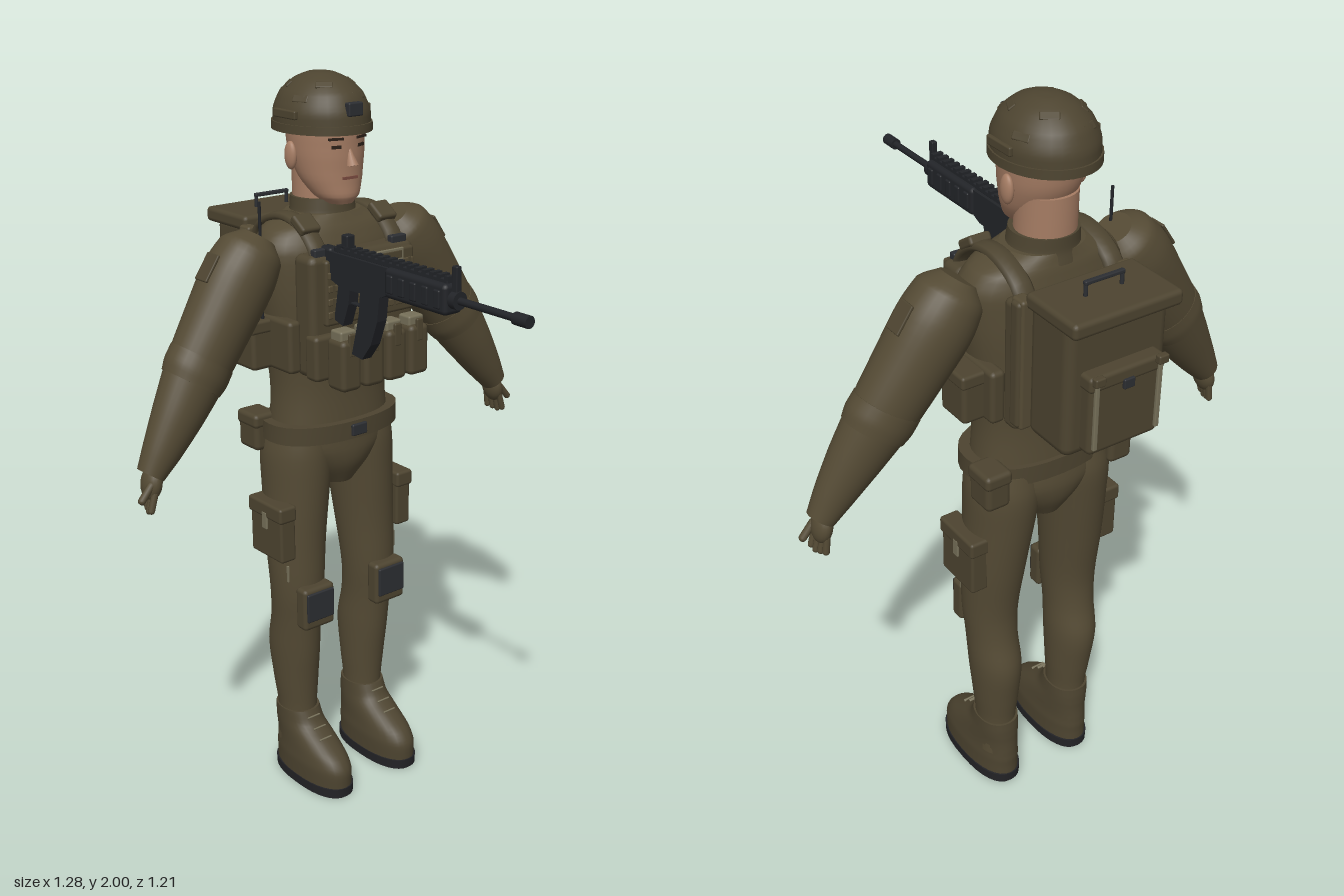
import * as THREE from 'three';
import { RoundedBoxGeometry } from 'three/addons/geometries/RoundedBoxGeometry.js';

const mat = (name, color) => new THREE.MeshStandardMaterial({ name, color });

export function createModel() {
  const M = {
    cloth: mat('olive cloth', 0x544a34), gear: mat('dark olive gear', 0x4d4430),
    skin: mat('skin', 0xa67d64), tan: mat('tan webbing', 0x767059),
    gun: mat('gunmetal', 0x222428), pad: mat('dark pad', 0x2c2e32),
    sole: mat('rubber sole', 0x232326), brow: mat('brow brown', 0x2b2018), lip: mat('lip', 0x7c4c40),
  };
  const root = new THREE.Group();
  root.name = 'soldier';

  const group = (name, parent = root) => {
    const g = new THREE.Group();
    g.name = name;
    parent.add(g);
    return g;
  };
  const add = (name, geo, m, parent, x = 0, y = 0, z = 0) => {
    const mesh = new THREE.Mesh(geo, m);
    mesh.name = name;
    mesh.position.set(x, y, z);
    parent.add(mesh);
    return mesh;
  };
  const box = (name, m, parent, [w, h, d], [x, y, z], r = 0.008) => add(name,
    r ? new RoundedBoxGeometry(w, h, d, 2, Math.min(r, w / 2.1, h / 2.1, d / 2.1)) : new THREE.BoxGeometry(w, h, d),
    m, parent, x, y, z);
  const ball = (name, m, parent, [a, b, c], [x, y, z]) => {
    const mesh = add(name, new THREE.SphereGeometry(1, 20, 14), m, parent, x, y, z);
    mesh.scale.set(a, b, c);
    return mesh;
  };
  const rod = (name, m, parent, r, len, [x, y, z], alongZ = false) => {
    const mesh = add(name, new THREE.CylinderGeometry(r, r, len, 14), m, parent, x, y, z);
    if (alongZ) mesh.rotation.x = Math.PI / 2;
    return mesh;
  };

  // Smooth body from rows [x, y, z, rx, rz], bottom to top, with capped ends
  function loft(rows, { seg = 32, steps = 4, power = 2 } = {}) {
    const mid = new THREE.CatmullRomCurve3(rows.map(r => new THREE.Vector3(r[0], r[1], r[2])));
    const rad = new THREE.CatmullRomCurve3(rows.map(r => new THREE.Vector3(r[3], r[4], 0)));
    const n = (rows.length - 1) * steps, pos = [], idx = [];
    const round = v => Math.sign(v) * Math.abs(v) ** (2 / power);
    for (let i = 0; i <= n; i++) {
      const c = mid.getPoint(i / n), r = rad.getPoint(i / n);
      for (let j = 0; j < seg; j++) {
        const a = j / seg * Math.PI * 2;
        pos.push(c.x + r.x * round(Math.cos(a)), c.y, c.z + r.y * round(Math.sin(a)));
      }
    }
    for (let i = 0; i < n; i++) for (let j = 0; j < seg; j++) {
      const k = (j + 1) % seg, a = i * seg + j, c = i * seg + k;
      idx.push(a, a + seg, c, a + seg, c + seg, c);
    }
    // Caps own their vertices so the rims stay sharp
    for (const [row, up] of [[0, false], [n, true]]) {
      const base = pos.length / 3, e = rows[up ? rows.length - 1 : 0];
      for (let j = 0; j < seg * 3; j++) pos.push(pos[row * seg * 3 + j]);
      pos.push(e[0], e[1], e[2]);
      for (let j = 0; j < seg; j++) {
        const a = base + j, b = base + (j + 1) % seg;
        idx.push(base + seg, up ? b : a, up ? a : b);
      }
    }
    const geo = new THREE.BufferGeometry();
    geo.setAttribute('position', new THREE.Float32BufferAttribute(pos, 3));
    geo.setIndex(idx);
    geo.computeVertexNormals();
    return geo;
  }

  // Torso, pelvis, collar and belt
  add('torso', loft([[0, 1.06, -.25, .178, .112], [0, 1.18, -.25, .17, .108], [0, 1.32, -.25, .185, .115],
    [0, 1.46, -.25, .207, .12], [0, 1.56, -.25, .215, .115], [0, 1.615, -.255, .185, .1], [0, 1.65, -.26, .1, .085]],
    { power: 2.3 }), M.cloth, root);
  add('pelvis', loft([[0, .905, -.255, .06, .08], [0, .97, -.255, .13, .112], [0, 1.03, -.255, .185, .118],
    [0, 1.09, -.25, .18, .114]]), M.cloth, root);
  add('collar', loft([[0, 1.62, -.262, .1, .092], [0, 1.65, -.262, .088, .085], [0, 1.685, -.264, .083, .083]]), M.gear, root);
  add('belt', loft([[0, 1.05, -.245, .203, .127], [0, 1.1, -.245, .203, .127]], { steps: 1, power: 2.3 }), M.gear, root);
  box('beltBuckle', M.pad, root, [.05, .032, .012], [0, 1.075, -.116], .004);

  // Head and face
  const head = group('head');
  add('neck', loft([[0, 1.6, -.267, .074, .074], [0, 1.78, -.272, .074, .072]], { steps: 1 }), M.skin, head);
  add('face', loft([[0, 1.675, -.192, .035, .038], [0, 1.695, -.205, .06, .062], [0, 1.74, -.228, .083, .084],
    [0, 1.8, -.243, .096, .101], [0, 1.86, -.247, .1, .105], [0, 1.92, -.25, .09, .095]]), M.skin, head);
  const nose = add('nose', new THREE.ConeGeometry(.017, .055, 12), M.skin, head, 0, 1.8, -.142);
  nose.rotation.x = -.25;
  box('mouth', M.lip, head, [.046, .007, .008], [0, 1.743, -.146], 0);
  for (const s of [-1, 1]) {
    box('eye', M.brow, head, [.025, .008, .008], [s * .038, 1.822, -.152], 0).rotation.y = s * .3;
    box('eyebrow', M.brow, head, [.04, .006, .008], [s * .04, 1.842, -.15], 0).rotation.y = s * .3;
    ball('ear', M.skin, head, [.013, .036, .021], [s * .1, 1.795, -.26]);
  }

  // Helmet, cover patches, side rails and front mount
  const helmet = group('helmet');
  add('helmetShell', loft([[0, 1.862, -.26, .118, .138], [0, 1.9, -.26, .118, .136], [0, 1.945, -.26, .1, .117],
    [0, 1.978, -.26, .066, .078], [0, 1.994, -.26, .03, .036], [0, 1.997, -.26, .006, .007]]), M.gear, helmet);
  add('helmetRim', loft([[0, 1.853, -.26, .122, .143], [0, 1.875, -.26, .122, .142]], { steps: 1 }), M.gear, helmet);
  box('frontMount', M.pad, helmet, [.045, .034, .02], [0, 1.915, -.127], .004);
  for (const [az, el] of [[.5, .9], [2.2, .9], [3.7, .85], [5.3, .95], [1.2, .6], [2.8, .55], [4.3, .6], [5.9, .5]]) {
    const n = new THREE.Vector3(Math.cos(el) * Math.cos(az), Math.sin(el), Math.cos(el) * Math.sin(az));
    const p = box('coverPatch', M.gear, helmet, [.045, .02, .008], [n.x * .117, 1.873 + n.y * .123, -.26 + n.z * .135], .003);
    p.lookAt(p.position.clone().add(n));
  }
  for (const s of [-1, 1]) box('sideRail', M.gear, helmet, [.012, .022, .09], [s * .117, 1.9, -.255], .004);

  // Limbs and the gear that repeats on both sides
  for (const s of [-1, 1]) {
    const side = group(s > 0 ? 'leftSide' : 'rightSide');
    side.scale.x = s;

    const arm = group('arm', side);
    arm.position.set(.27, 1.53, -.245);
    arm.rotation.z = .6;
    add('sleeve', loft([[0, -.565, .03, .037, .036], [0, -.5, .028, .052, .046], [0, -.4, .022, .07, .06],
      [0, -.28, .012, .086, .073], [0, -.15, .005, .093, .083], [0, -.03, 0, .098, .09], [0, .05, 0, .085, .083],
      [0, .09, 0, .045, .048]]), M.cloth, arm);
    add('elbowCuff', loft([[0, -.315, .014, .084, .073], [0, -.28, .012, .091, .077], [0, -.245, .01, .09, .077]]), M.cloth, arm);
    box('armPatch', M.gear, arm, [.008, .075, .05], [.098, -.04, 0], .003);
    const hand = group('hand', arm);
    hand.position.set(0, -.55, .03);
    hand.rotation.z = -.4;
    ball('palm', M.cloth, hand, [.024, .045, .036], [0, -.035, 0]);
    for (let i = 0; i < 4; i++) {
      const f = add('finger', new THREE.CapsuleGeometry(.009, .045, 4, 8), M.cloth, hand,
        .004 - i * .003, -.084 + Math.abs(i - 1) * .005, .024 - i * .016);
      f.rotation.z = .1 - i * .06;
    }
    const thumb = add('thumb', new THREE.CapsuleGeometry(.01, .045, 4, 8), M.cloth, hand, .024, -.055, .02);
    thumb.rotation.z = .5;

    add('leg', loft([[.12, .1, -.265, .054, .064], [.12, .2, -.262, .052, .061], [.122, .3, -.264, .06, .07],
      [.125, .42, -.263, .067, .083], [.127, .51, -.249, .067, .077], [.127, .6, -.241, .073, .079],
      [.122, .75, -.25, .082, .089], [.112, .9, -.257, .089, .102], [.105, 1, -.26, .095, .108],
      [.1, 1.07, -.258, .088, .1]]), M.cloth, side);
    add('boot', loft([[.118, .025, -.19, .066, .148], [.118, .07, -.19, .067, .148], [.118, .105, -.2, .064, .136],
      [.118, .14, -.225, .061, .108], [.119, .175, -.252, .058, .08], [.12, .215, -.262, .056, .067]],
      { power: 2.2 }), M.gear, side);
    add('bootSole', loft([[.118, 0, -.19, .067, .15], [.118, .028, -.19, .068, .151]], { steps: 1, power: 2.4 }), M.sole, side);
    for (let i = 0; i < 4; i++) {
      box('bootLace', M.tan, side, [.042, .005, .008], [.119, .125 + i * .024, -.106 - i * .027], .002).rotation.x = -.7;
    }
    box('kneePad', M.gear, side, [.105, .125, .045], [.127, .572, -.158], .012);
    box('kneePadPlate', M.pad, side, [.09, .085, .01], [.127, .58, -.134], .004);
    box('kneeStrap', M.tan, side, [.006, .05, .012], [.188, .67, -.2], .002);
    box('thighPocket', M.gear, side, [.05, .16, .14], [.203, .8, -.24]);
    box('thighPocketFlap', M.gear, side, [.056, .045, .15], [.205, .86, -.24]);
    box('thighPocketTab', M.tan, side, [.008, .05, .022], [.23, .83, -.24], .003);
    box('beltPouch', M.gear, side, [.07, .1, .085], [.185, 1.06, -.325], .015);
    box('beltPouchFlap', M.gear, side, [.076, .04, .09], [.185, 1.095, -.325], .012);
    box('sidePouch', M.gear, side, [.07, .13, .1], [.225, 1.325, -.275], .012);
    box('sidePouchFlap', M.gear, side, [.076, .035, .106], [.226, 1.375, -.275]);
    box('cummerbund', M.gear, side, [.04, .14, .22], [.185, 1.33, -.25], .012);

    // Flattened strap over the shoulder
    const path = new THREE.CatmullRomCurve3([[1.5, -.105], [1.58, -.125], [1.635, -.19], [1.645, -.27], [1.6, -.36], [1.5, -.39]]
      .map(([y, z]) => new THREE.Vector3(0, y, z)));
    const strap = add('shoulderStrap', new THREE.TubeGeometry(path, 24, .012, 8), M.gear, side, .125);
    strap.scale.x = 2.4;
    box('strapPad', M.gear, side, [.06, .025, .06], [.125, 1.637, -.17]).rotation.x = .6;
    box('strapBuckle', M.pad, side, [.05, .022, .02], [.125, 1.575, -.11], .004);
  }

  // Plate carrier with webbing and magazine pouches
  const vest = group('vest');
  box('frontPlate', M.gear, vest, [.34, .32, .08], [0, 1.41, -.13], .02);
  box('backPlate', M.gear, vest, [.32, .34, .05], [0, 1.41, -.36], .015);
  box('chestPanel', M.gear, vest, [.29, .17, .03], [.01, 1.475, -.09], .008);
  for (let i = 0; i < 4; i++) {
    box('webbingRow', M.cloth, vest, [.28, .018, .008], [.01, 1.42 + i * .034, -.074], .003);
    for (let j = 0; j < 6; j++) box('webbingStitch', M.gear, vest, [.006, .02, .01], [-.115 + j * .05, 1.42 + i * .034, -.073], 0);
  }
  box('namePatch', M.tan, vest, [.09, .032, .008], [.07, 1.545, -.073], .002);
  box('namePatchInset', M.gear, vest, [.075, .02, .008], [.07, 1.545, -.071], .002);
  box('pouchPanel', M.gear, vest, [.35, .12, .05], [0, 1.31, -.095], .012);
  for (let i = 0; i < 4; i++) {
    const x = -.11 + i * .075;
    box('magazinePouch', M.gear, vest, [.064, .135, .07], [x, 1.3, -.037], .014);
    box('magazineTop', M.tan, vest, [.05, .04, .045], [x, 1.37, -.04], .006);
    box('pouchTab', M.gear, vest, [.022, .06, .01], [x, 1.355, -.006], .004);
  }
  rod('antenna', M.gun, vest, .004, .3, [-.23, 1.55, -.22]);

  // Backpack with lid, pocket, straps and handle
  const pack = group('backpack');
  box('packFrame', M.gear, pack, [.34, .33, .035], [0, 1.43, -.392], .01);
  for (const s of [-1, 1]) box('frameStrap', M.cloth, pack, [.035, .34, .045], [s * .145, 1.43, -.392], .008);
  box('packBody', M.gear, pack, [.28, .35, .15], [0, 1.425, -.48], .025);
  box('packLid', M.gear, pack, [.3, .04, .185], [0, 1.6, -.495], .012);
  box('packPocket', M.gear, pack, [.2, .2, .05], [0, 1.365, -.565], .015);
  box('packPocketFlap', M.gear, pack, [.21, .04, .055], [0, 1.455, -.566], .01);
  box('pocketBuckle', M.pad, pack, [.03, .025, .01], [0, 1.435, -.595], .003);
  for (const s of [-1, 1]) {
    box('packStrap', M.tan, pack, [.012, .19, .01], [s * .088, 1.38, -.594], .003);
    box('strapClip', M.gear, pack, [.028, .022, .018], [s * .088, 1.47, -.6], .004);
    rod('handlePost', M.pad, pack, .005, .035, [s * .05, 1.635, -.49]);
  }
  box('handleBar', M.pad, pack, [.11, .01, .012], [0, 1.652, -.49], .003);

  // Rifle slung across the chest, pointing forward
  const rifle = group('rifle');
  rifle.position.x = -.1;
  const sidePlate = (name, pts, width) => {
    const shape = new THREE.Shape(pts.map(([z, y]) => new THREE.Vector2(z, y)));
    const geo = new THREE.ExtrudeGeometry(shape, { depth: width, bevelEnabled: false });
    geo.translate(0, 0, -width / 2).rotateY(-Math.PI / 2);
    return add(name, geo, M.gun, rifle);
  };
  rod('barrel', M.gun, rifle, .009, .25, [0, 1.55, .45], true);
  rod('muzzle', M.gun, rifle, .015, .045, [0, 1.55, .582], true);
  rod('gasBlock', M.gun, rifle, .022, .03, [0, 1.55, .365], true);
  box('frontSight', M.gun, rifle, [.016, .1, .018], [0, 1.58, .367], .003);
  box('handguard', M.gun, rifle, [.058, .075, .22], [0, 1.55, .25], .012);
  for (let i = 0; i < 5; i++) box('handguardRib', M.gun, rifle, [.068, .045, .022], [0, 1.55, .165 + i * .042], .004);
  box('topRail', M.gun, rifle, [.028, .014, .42], [0, 1.59, .14], .003);
  for (let i = 0; i < 16; i++) box('railTooth', M.gun, rifle, [.03, .01, .013], [0, 1.599, -.05 + i * .0265], 0);
  sidePlate('receiver', [[-.09, 1.585], [.15, 1.585], [.15, 1.52], [.115, 1.505], [-.03, 1.5], [-.09, 1.52]], .046);
  sidePlate('magazine', [[.11, 1.515], [.1, 1.44], [.075, 1.375], [.04, 1.33], [0, 1.335], [.018, 1.4], [.03, 1.45], [.035, 1.515]], .03);
  sidePlate('grip', [[-.005, 1.51], [-.012, 1.46], [-.035, 1.4], [-.07, 1.41], [-.05, 1.51]], .03);
  box('triggerGuard', M.gun, rifle, [.014, .006, .05], [0, 1.462, .01], .002);
  box('stock', M.gun, rifle, [.036, .1, .05], [0, 1.54, -.105], .008);
  box('rearSight', M.gun, rifle, [.026, .035, .025], [0, 1.615, -.03], .004);

  return root;
}
